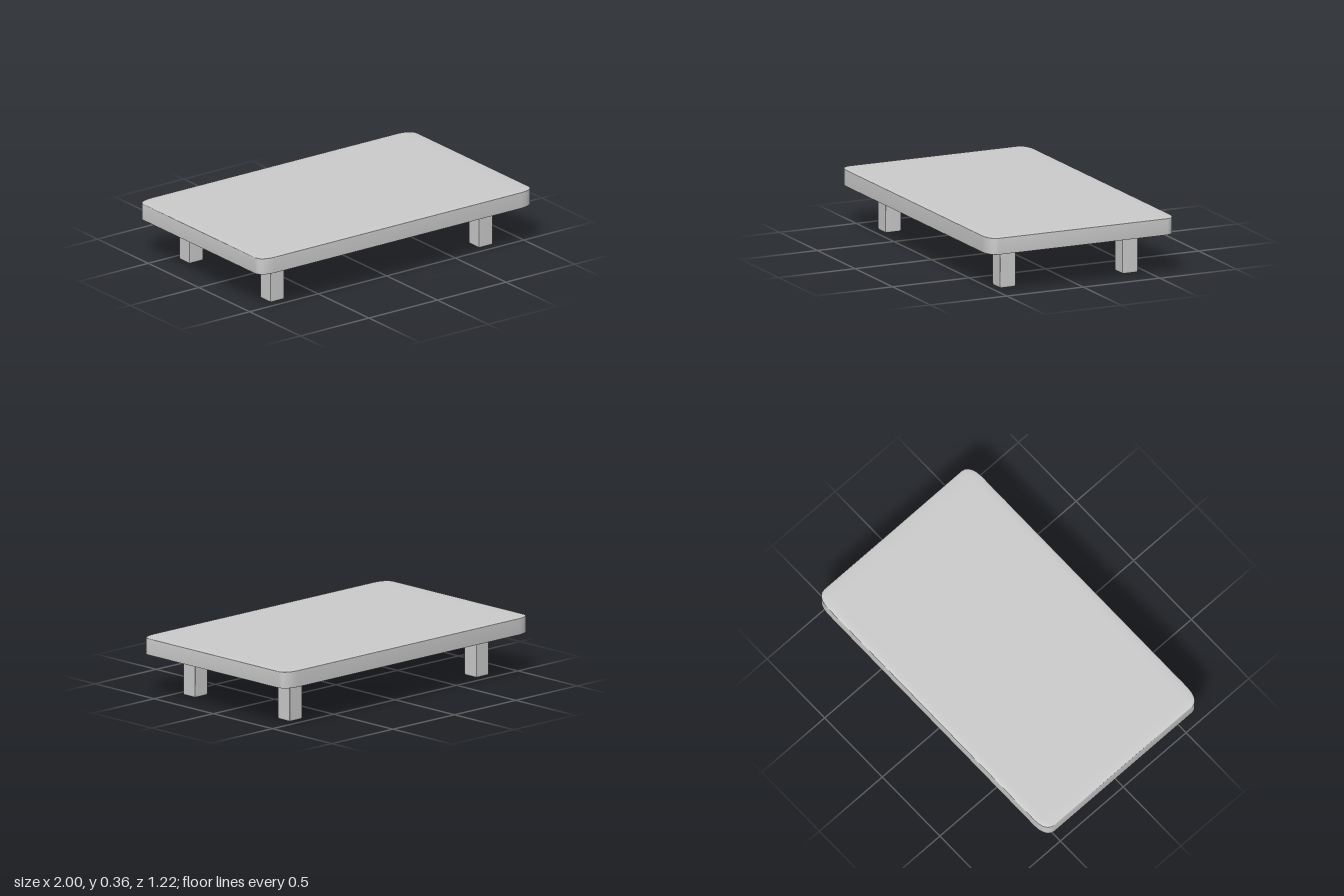
import * as THREE from 'three';
import { RoundedBoxGeometry } from 'three/addons/geometries/RoundedBoxGeometry.js';
import { mergeVertices } from 'three/addons/utils/BufferGeometryUtils.js';

const material = new THREE.MeshStandardMaterial({ color: 0xcccccc });

// Bevelled unit cube stretched to size, so the bevel stretches along with each axis
function softBlock(name, width, height, depth) {
  let geometry = new RoundedBoxGeometry(1, 1, 1, 3, 0.05);
  geometry.scale(width, height, depth);
  geometry.deleteAttribute('normal');
  geometry.deleteAttribute('uv');
  geometry = mergeVertices(geometry, 1e-5);
  geometry.computeVertexNormals();
  const mesh = new THREE.Mesh(geometry, material);
  mesh.name = name;
  return mesh;
}

export function createModel() {
  const table = new THREE.Group();
  table.name = 'lowTable';

  // Table top
  const top = softBlock('tableTop', 2, 0.107, 1.224);
  top.position.y = 0.304;
  table.add(top);

  // Four square legs, set in from the corners
  for (const [zName, z] of [['front', 0.4], ['back', -0.4]]) {
    for (const [xName, x] of [['Left', 0.76], ['Right', -0.76]]) {
      const leg = softBlock(`${zName}${xName}Leg`, 0.102, 0.255, 0.102);
      leg.position.set(x, 0.1275, z);
      table.add(leg);
    }
  }
  return table;
}
